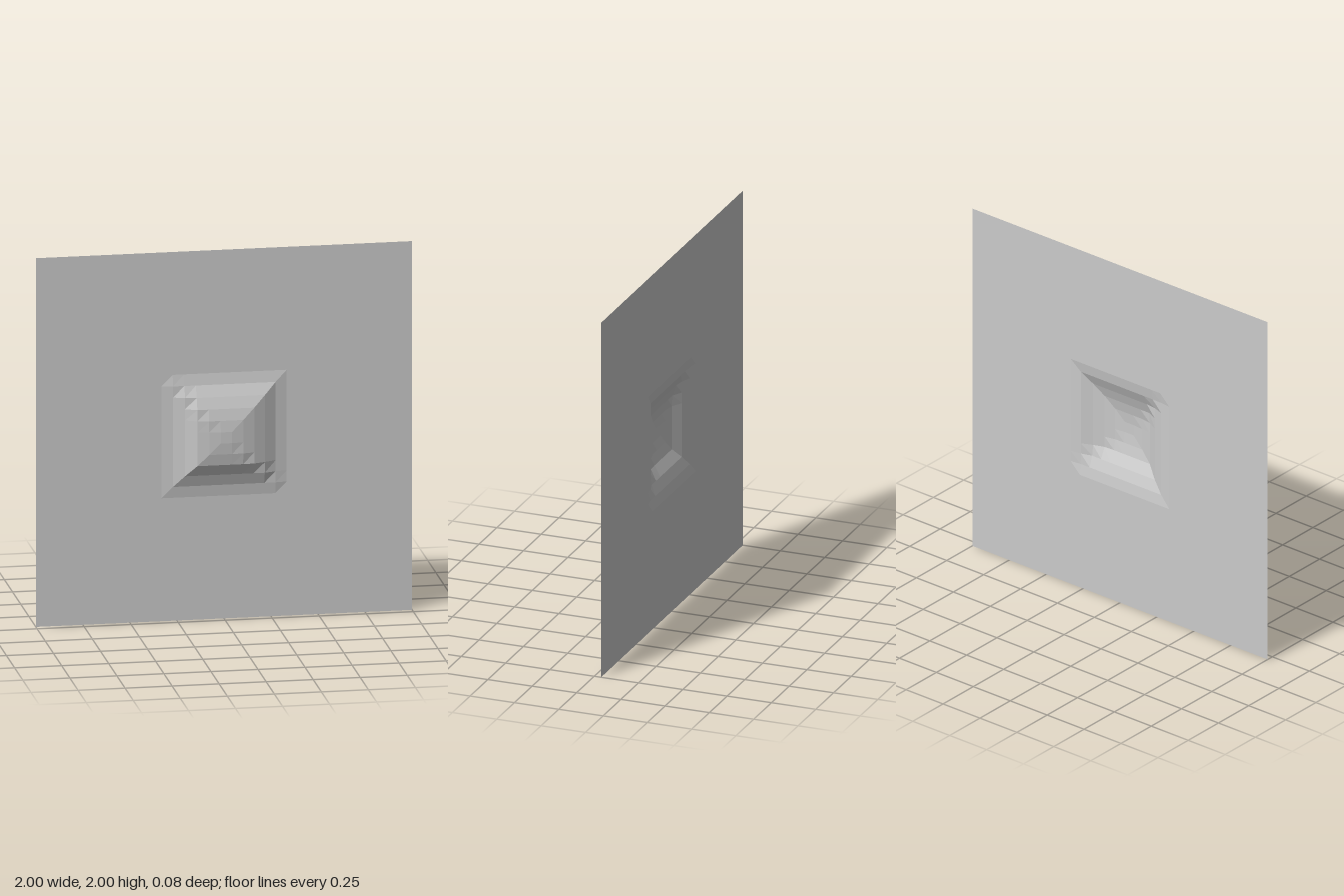
import * as THREE from 'three';

const SEGMENTS = 33;      // grid cells per side
const BUMP_START = 11;    // grid line where the raised area begins
const BASE_Z = -0.0385;

// Rise above the sheet at each grid line, from the rim of the bump inward
const GENTLE_RISE = [0, 0.008, 0.029, 0.061, 0.072, 0.077]; // left and bottom of the grid
const FULL_RISE = [0, 0.010, 0.037, 0.058, 0.071, 0.077];   // right and top of the grid

function rise(profile, steps) {
  return profile[THREE.MathUtils.clamp(steps, 0, profile.length - 1)];
}

// The four side slopes meet along mitred corners
function bumpHeight(col, row) {
  const far = SEGMENTS - BUMP_START;
  return Math.min(
    rise(GENTLE_RISE, col - BUMP_START),
    rise(FULL_RISE, far - col),
    rise(GENTLE_RISE, row - BUMP_START),
    rise(FULL_RISE, far - row)
  );
}

export function createModel() {
  const group = new THREE.Group();
  group.name = 'embossedPanel';

  // Upright square sheet with a soft square bump pushed out of its middle
  const sheet = new THREE.PlaneGeometry(2, 2, SEGMENTS, SEGMENTS);
  const pos = sheet.attributes.position;
  for (let i = 0; i < pos.count; i++) {
    const col = Math.round((pos.getX(i) + 1) / 2 * SEGMENTS);
    const row = Math.round((pos.getY(i) + 1) / 2 * SEGMENTS);
    pos.setZ(i, BASE_Z + bumpHeight(col, row));
  }
  sheet.translate(0, 1, 0);
  const geometry = sheet.toNonIndexed();
  geometry.computeVertexNormals();

  const material = new THREE.MeshStandardMaterial({
    color: 0xcccccc, flatShading: true, side: THREE.DoubleSide
  });
  const panel = new THREE.Mesh(geometry, material);
  panel.name = 'panel';
  group.add(panel);
  return group;
}
